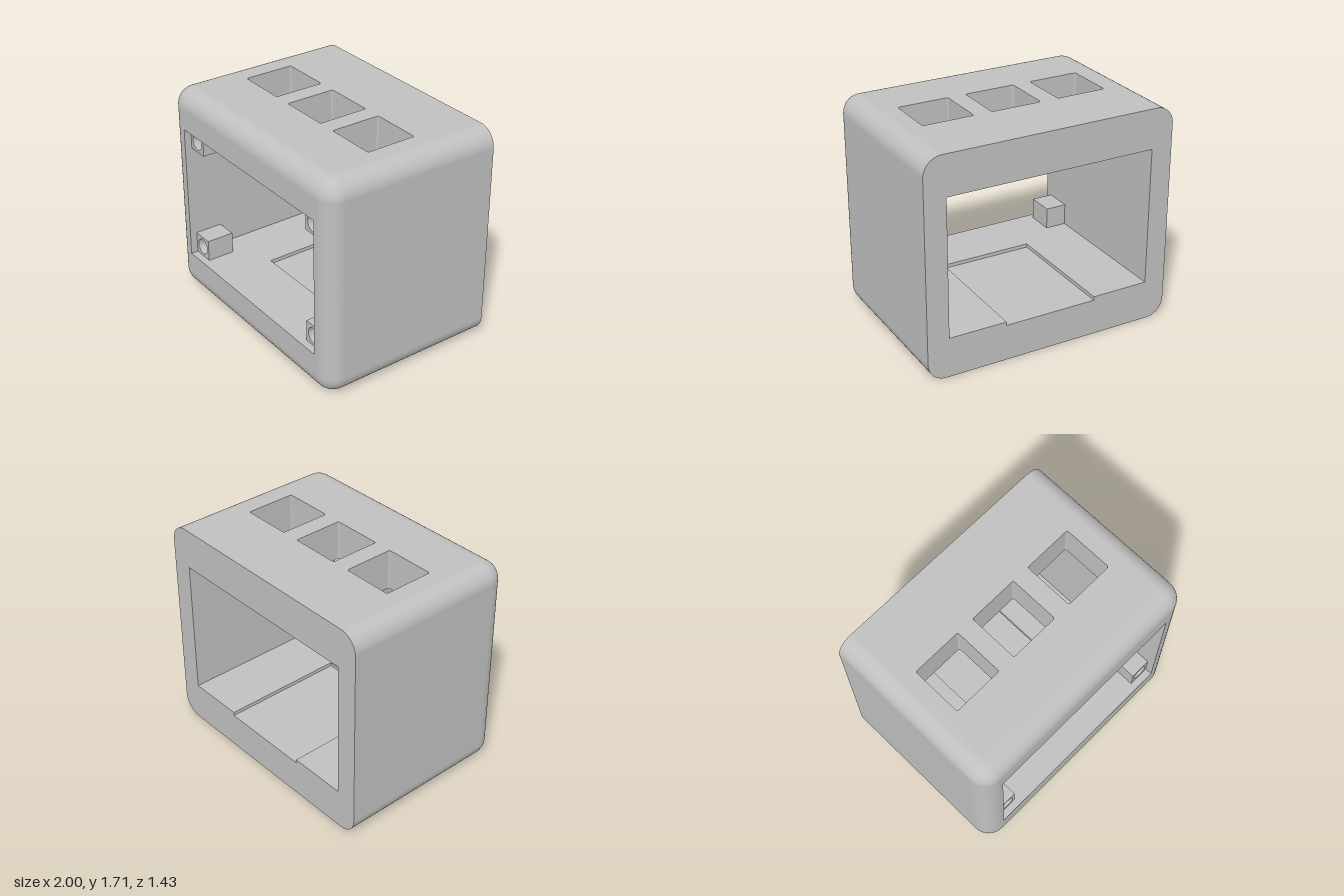
import * as THREE from 'three';

const W = 1, H = 1.714, D = 0.714;          // half width, height, half depth
const R = 0.143;                            // outer rounding
const OX = 0.829, OY0 = 0.314, OY1 = 1.4;   // opening through the case
const RX = 0.371, RZ = 0.27, RD = 0.029;    // floor recess: half width, front end, depth
const KEYS = [-0.544, 0, 0.544], KEY = 0.4; // square cut-outs in the top

const grey = new THREE.MeshStandardMaterial({ color: 0xc0c0c0 });
grey.name = 'grey';

const vec = (list) => list.map(([x, y]) => new THREE.Vector2(x, y));
const rect = (x0, y0, x1, y1) => vec([[x0, y0], [x1, y0], [x1, y1], [x0, y1]]);

// counter-clockwise rounded rectangle; each point keeps its corner centre and angle
function roundedRect(x0, y0, x1, y1, r, n) {
  const centres = [[x1 - r, y1 - r], [x0 + r, y1 - r], [x0 + r, y0 + r], [x1 - r, y0 + r]];
  const out = [];
  centres.forEach(([cx, cy], k) => {
    for (let i = 0; i <= n; i++) out.push({ cx, cy, a: (k + i / n) * Math.PI / 2 });
  });
  return out;
}
const toPoints = (ring, r) =>
  ring.map((p) => new THREE.Vector2(p.cx + r * Math.cos(p.a), p.cy + r * Math.sin(p.a)));

// flat sheet facing +z, with holes
function sheet(outline, holes = []) {
  const s = new THREE.Shape(outline);
  holes.forEach((h) => s.holes.push(new THREE.Path(h)));
  return new THREE.ShapeGeometry(s);
}

// walls dropping from an outline at z = 0 to z = -depth, facing inwards
function wall(pts, depth, closed = true) {
  const pos = [];
  for (let i = 0; i < pts.length - (closed ? 0 : 1); i++) {
    const p = pts[i], q = pts[(i + 1) % pts.length];
    pos.push(p.x, p.y, 0, q.x, q.y, 0, q.x, q.y, -depth);
    pos.push(p.x, p.y, 0, q.x, q.y, -depth, p.x, p.y, -depth);
  }
  const g = new THREE.BufferGeometry();
  g.setAttribute('position', new THREE.Float32BufferAttribute(pos, 3));
  g.computeVertexNormals();
  return g;
}

// rounded outer skin: straight sides, then a quarter-round to the front
function outerSkin(ring, n) {
  const rows = [[0, -D]];
  for (let j = 0; j <= n; j++) {
    const f = j / n * Math.PI / 2;
    rows.push([f, D - R + R * Math.sin(f)]);
  }
  const pos = [], nor = [], idx = [], m = ring.length;
  rows.forEach(([f, z]) => ring.forEach((p) => {
    const nx = Math.cos(p.a) * Math.cos(f), ny = Math.sin(p.a) * Math.cos(f);
    pos.push(p.cx + R * nx, p.cy + R * ny, z);
    nor.push(nx, ny, Math.sin(f));
  }));
  const topEdge = m / 4 - 1; // the flat top is a separate sheet with cut-outs
  for (let j = 0; j < rows.length - 1; j++) {
    for (let i = 0; i < m; i++) {
      if (j === 0 && i === topEdge) continue;
      const a = j * m + i, b = j * m + (i + 1) % m;
      idx.push(a, b, b + m, a, b + m, a + m);
    }
  }
  const g = new THREE.BufferGeometry();
  g.setAttribute('position', new THREE.Float32BufferAttribute(pos, 3));
  g.setAttribute('normal', new THREE.Float32BufferAttribute(nor, 3));
  g.setIndex(idx);
  return g;
}

export function createModel() {
  const model = new THREE.Group();
  model.name = 'enclosure';
  const add = (name, geometry, parent = model) => {
    const mesh = new THREE.Mesh(geometry, grey);
    mesh.name = name;
    parent.add(mesh);
    return mesh;
  };
  const up = (g, y) => g.rotateX(-Math.PI / 2).translate(0, y, 0); // sheet y becomes -z

  // outside
  const ring = roundedRect(-W, 0, W, H, R, 12);
  add('outerSkin', outerSkin(ring, 12));
  add('frontFace', sheet(rect(-W + R, R, W - R, H - R), [rect(-OX, OY0, OX, OY1)]).translate(0, 0, D));
  const backHole = vec([[-OX, OY0], [-RX, OY0], [-RX, OY0 - RD], [RX, OY0 - RD],
    [RX, OY0], [OX, OY0], [OX, OY1], [-OX, OY1]]);
  add('backFace', sheet(toPoints(ring, R), [backHole]).rotateY(Math.PI).translate(0, 0, -D));

  // top with three square cut-outs
  const k = KEY / 2;
  const keyHoles = KEYS.map((x) => toPoints(roundedRect(x - k, -k, x + k, k, 0.014, 4), 0.014));
  add('topFace', up(sheet(rect(-W + R, -D + R, W - R, D), keyHoles), H));
  add('ceiling', sheet(rect(-OX, -D, OX, D), keyHoles).rotateX(Math.PI / 2).translate(0, OY1, 0));
  keyHoles.forEach((h) => add('topCutout', up(wall(h, H - OY1), H)));

  // inner side walls
  for (const s of [-1, 1]) {
    add('innerWall', new THREE.PlaneGeometry(2 * D, OY1 - OY0)
      .rotateY(-s * Math.PI / 2).translate(s * OX, (OY0 + OY1) / 2, 0));
  }

  // floor with a shallow recess open to the back
  const recess = [[-RX, D], [-RX, -RZ], [RX, -RZ], [RX, D]];
  add('floor', up(sheet(vec([[-OX, D], [-OX, -D], [OX, -D], [OX, D], ...recess.slice().reverse()])), OY0));
  add('recessStep', up(wall(vec(recess), RD, false), OY0));
  add('recessFloor', up(sheet(rect(-RX, -RZ, RX, D)), OY0 - RD));

  // four corner mounting blocks with blind screw holes
  const B = 0.171, len = 0.22, bore = 0.17, front = 0.657;
  const face = new THREE.Shape(rect(-B / 2, -B / 2, B / 2, B / 2));
  face.holes.push(new THREE.Path().absarc(0, 0, 0.063, 0, Math.PI * 2, true));
  const sleeve = new THREE.ExtrudeGeometry(face, { depth: bore, bevelEnabled: false, curveSegments: 32 });
  const end = new THREE.BoxGeometry(B, B, len - bore).translate(0, 0, -(len - bore) / 2);
  for (const x of [-OX + B / 2, OX - B / 2]) {
    for (const y of [OY0 + B / 2, OY1 - B / 2]) {
      const block = new THREE.Group();
      block.name = 'mountingBlock';
      block.position.set(x, y, front - bore);
      add('screwSleeve', sleeve, block);
      add('blockEnd', end, block);
      model.add(block);
    }
  }
  return model;
}
